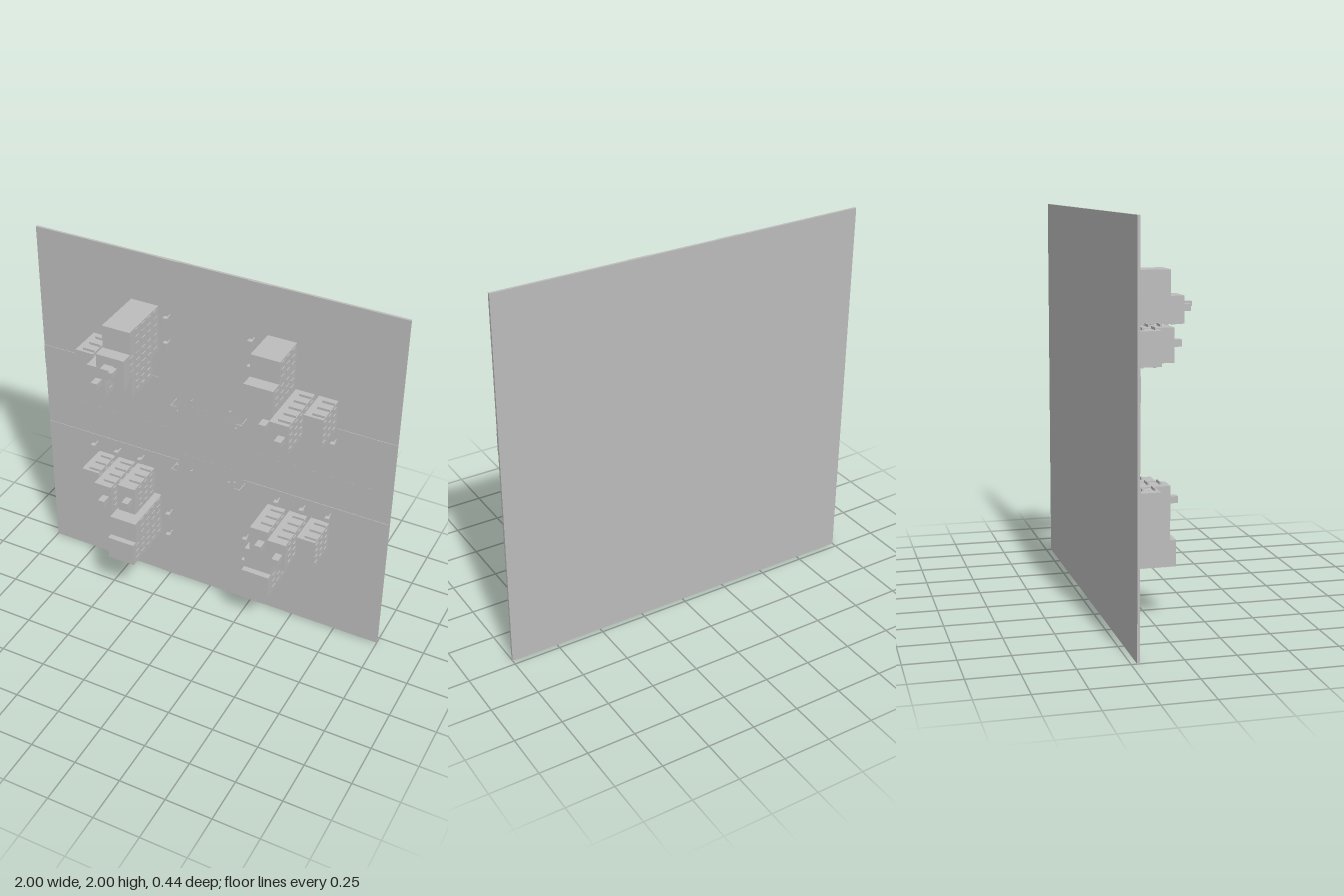
import * as THREE from 'three';

export function createModel() {
  const model = new THREE.Group();
  const grey = new THREE.MeshStandardMaterial({ color: 0xbcbcbc });
  grey.name = 'plain grey';
  const GROUND = -0.209;

  // Box given by its limits on each axis
  function box(name, x0, x1, y0, y1, z0, z1, parent = model) {
    const mesh = new THREE.Mesh(new THREE.BoxGeometry(x1 - x0, y1 - y0, z1 - z0), grey);
    mesh.position.set((x0 + x1) / 2, (y0 + y1) / 2, (z0 + z1) / 2);
    mesh.name = name;
    parent.add(mesh);
  }
  function group(name) {
    const g = new THREE.Group();
    g.name = name;
    model.add(g);
    return g;
  }

  // Ground slab, standing upright, with heights measured along z
  box('ground', -1, 1, 0, 2, -0.222, GROUND);

  // Raised pavements beside the two crossing roads
  const pavements = group('pavements');
  for (const sx of [-1, 1]) for (const sy of [-1, 1]) {
    const span = (s, a, b) => (s > 0 ? [a, b] : [-b, -a]);
    const [xa, xb] = span(sx, 0.187, 0.304), [xc, xd] = span(sx, 0.304, 1);
    const [ya, yb] = span(sy, 0.187, 1), [yc, yd] = span(sy, 0.187, 0.304);
    box('pavement', xa, xb, 1 + ya, 1 + yb, GROUND, -0.206, pavements);
    box('pavement', xc, xd, 1 + yc, 1 + yd, GROUND, -0.206, pavements);
  }

  // Lane dashes and crossings
  const markings = group('roadMarkings');
  for (let i = 0; i < 7; i++) for (const s of [-1, 1]) {
    const x = s * (0.28 + i * 0.1);
    box('laneDash', x - 0.015, x + 0.015, 0.998, 1.002, GROUND, GROUND + 0.001, markings);
  }
  for (const y of [0.84, 1.16]) for (let i = 0; i < 9; i++) {
    const x = -0.152 + i * 0.038;
    box('crossingStripe', x - 0.007, x + 0.007, y - 0.018, y + 0.018, GROUND, GROUND + 0.001, markings);
  }
  for (const x of [-0.17, -0.145])
    box('stopLine', x - 0.003, x + 0.003, 0.87, 1.13, GROUND, GROUND + 0.001, markings);

  // Small towers with balconies, windows and an optional roof box
  function tower(x0, y0, top, roofBox) {
    const g = group('smallTower');
    const x1 = x0 + 0.102, y1 = y0 + 0.167;
    box('towerBody', x0, x1, y0, y1, GROUND, top, g);
    for (let z = -0.165; z < top - 0.015; z += 0.06) {
      box('balcony', x0 + 0.037, x0 + 0.1, y1, y1 + 0.013, z - 0.004, z + 0.004, g);
      box('rearSill', x0 + 0.04, x0 + 0.066, y0 - 0.01, y0, z - 0.003, z + 0.003, g);
      for (let k = 0; k < 4; k++) {
        const y = y0 + 0.025 + k * 0.039;
        box('windowFrame', x1, x1 + 0.005, y - 0.01, y + 0.01, z - 0.012, z + 0.016, g);
      }
    }
    if (roofBox) box('roofBox', x0 + 0.05, x0 + 0.087, y0 + 0.069, y0 + 0.103, top, top + 0.052, g);
  }
  const leftX = [-0.687, -0.564, -0.444], rightX = [0.58, 0.457, 0.334];
  const rows = [
    [leftX, 1.297, [-0.025, 0.07, 0.01]],
    [rightX, 1.297, [-0.025, 0.1, 0.01]],
    [leftX, 0.541, [-0.025, 0.055, 0.015]],
    [rightX, 0.541, [-0.025, 0.065, 0.01]],
  ];
  for (const [xs, y, tops] of rows) xs.forEach((x, i) => tower(x, y, tops[i], i > 0));

  // Large stepped blocks: two sections of different height
  function block(x0, sections) {
    const g = group('steppedBlock');
    const x1 = x0 + 0.155;
    for (const [y0, y1, top] of sections) {
      box('blockBody', x0, x1, y0, y1, GROUND, top, g);
      for (let z = -0.17; z < top - 0.03; z += 0.06) for (let k = 0; k < 3; k++) {
        const y = y0 + 0.024 + k * 0.04;
        box('windowFrame', x1, x1 + 0.004, y - 0.013, y + 0.013, z - 0.015, z + 0.02, g);
      }
    }
    const low = sections[0];
    for (let z = -0.18; z < low[2] - 0.02; z += 0.035)
      box('rearSill', x0 + 0.01, x1 - 0.01, low[0] - 0.004, low[0], z - 0.008, z + 0.008, g);
  }
  block(-0.457, [[1.468, 1.602, 0.15], [1.602, 1.727, 0.083]]);
  block(0.297, [[1.468, 1.602, 0.055], [1.602, 1.727, -0.015]]);
  block(-0.457, [[0.279, 0.413, 0.115], [0.413, 0.537, 0.084]]);
  block(0.297, [[0.279, 0.413, 0.02], [0.413, 0.537, -0.013]]);

  // Machinery on the tallest roof
  box('roofMachine', -0.41, -0.355, 1.523, 1.557, 0.15, 0.195);
  box('roofDuct', -0.35, -0.328, 1.54, 1.565, 0.168, 0.22);

  // Street trees: thin trunk and cube crown
  function tree(x, y) {
    const g = group('streetTree');
    box('trunk', x - 0.003, x + 0.003, y - 0.003, y + 0.003, GROUND, -0.168, g);
    box('crown', x - 0.012, x + 0.012, y - 0.012, y + 0.012, -0.17, -0.146, g);
  }
  for (const y of [1.237, 0.77])
    for (const x of [-0.692, -0.548, -0.404, 0.4, 0.543, 0.687]) tree(x, y);
  for (const x of [-0.235, 0.229])
    for (const y of [1.694, 1.55, 0.457, 0.313]) tree(x, y);

  // Traffic lights at the four corners, with a short post beside each
  for (const sx of [-1, 1]) for (const sy of [-1, 1]) {
    const g = group('trafficLight');
    const x = sx * 0.2, y = 1 + sy * 0.205, lx = sx * 0.168, ly = 1 + sy * 0.172;
    box('pole', x - 0.002, x + 0.002, y - 0.002, y + 0.002, GROUND, -0.135, g);
    box('arm', Math.min(x, lx), Math.max(x, lx), y - 0.002, y + 0.002, -0.141, -0.137, g);
    box('sideArm', lx - 0.0015, lx + 0.0015, Math.min(y, ly), Math.max(y, ly), -0.141, -0.138, g);
    box('lamp', lx - 0.004, lx + 0.004, ly - 0.004, ly + 0.004, -0.152, -0.138, g);
    const px = sx * 0.11, py = 1 + sy * 0.225;
    box('post', px - 0.002, px + 0.002, py - 0.002, py + 0.002, GROUND, -0.195, g);
    box('postHead', px - 0.005, px + 0.005, py - 0.005, py + 0.005, -0.197, -0.19, g);
  }
  return model;
}
